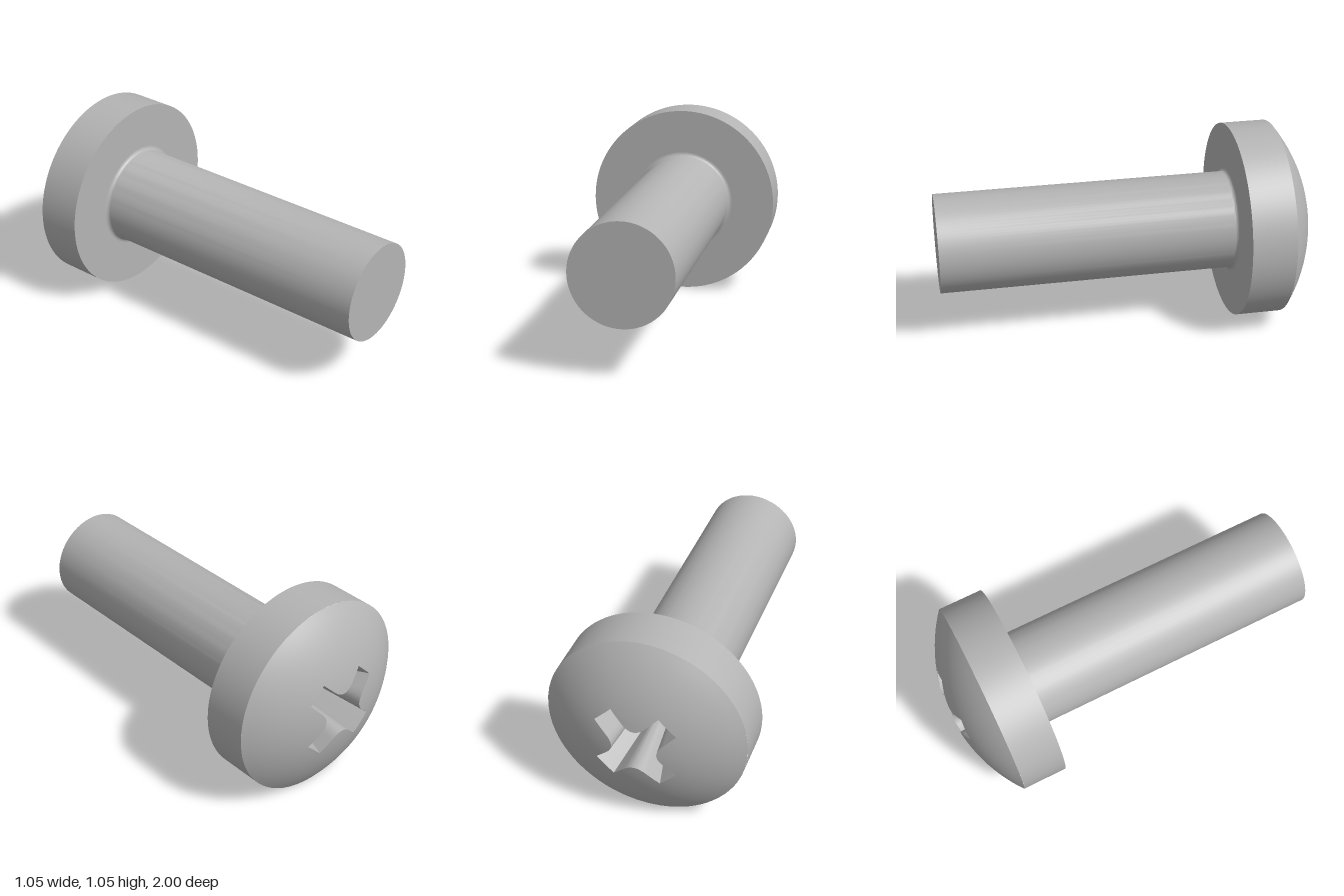
import * as THREE from 'three';
import { toCreasedNormals } from 'three/addons/utils/BufferGeometryUtils.js';

const HEAD_R = 0.5275, SHANK_R = 0.264, FILLET = 0.022;
const RIM_Z = -0.825, UNDER_Z = -0.585, APEX_Z = -1.008;

// Spherical crown through the rim and the apex
const rise = RIM_Z - APEX_Z;
const CROWN_R = (HEAD_R ** 2 + rise ** 2) / (2 * rise);
const crownZ = (r) => APEX_Z + CROWN_R - Math.sqrt(CROWN_R ** 2 - r * r);

// Diagonal cross: half width w, arm reach, and start c of the rounded inner corners
function crossOutline(w, c, reach, n = 8) {
  const v = (x, y) => new THREE.Vector2(x, y);
  const curves = [
    new THREE.LineCurve(v(c, -w), v(reach, -w)),
    new THREE.LineCurve(v(reach, -w), v(reach, w)),
    new THREE.LineCurve(v(reach, w), v(c, w)),
    new THREE.QuadraticBezierCurve(v(c, w), v(w, w), v(w, c)),
  ];
  const points = [];
  for (let arm = 0; arm < 4; arm++) {
    const turn = Math.PI / 4 + arm * Math.PI / 2;
    for (const curve of curves) {
      for (const p of curve.getPoints(n).slice(0, n)) points.push(p.rotateAround(v(0, 0), turn));
    }
  }
  return points;
}

// Skin closed rings of [x, y, z] points, from the innermost ring outwards
function loft(rings, crease) {
  const n = rings[0].length, index = [];
  for (let i = 0; i < rings.length - 1; i++) {
    for (let j = 0; j < n; j++) {
      const a = i * n + j, b = i * n + (j + 1) % n;
      index.push(a, b, a + n, b, b + n, a + n);
    }
  }
  const geometry = new THREE.BufferGeometry();
  geometry.setAttribute('position', new THREE.Float32BufferAttribute(rings.flat(2), 3));
  geometry.setIndex(index);
  return toCreasedNormals(geometry, crease);
}

export function createModel() {
  const group = new THREE.Group();
  group.name = 'screw';
  const steel = new THREE.MeshStandardMaterial({ color: 0xb4b4b4 });
  steel.name = 'grey steel';

  const add = (name, geometry) => {
    const mesh = new THREE.Mesh(geometry, steel);
    mesh.name = name;
    mesh.position.y = HEAD_R;
    group.add(mesh);
  };
  // Turned parts: profile of [radius, z]
  const turned = (profile) => toCreasedNormals(
    new THREE.LatheGeometry(profile.map(([r, z]) => new THREE.Vector2(r, z)), 96).rotateX(Math.PI / 2), 0.5);

  // Head side wall and underside
  add('headSide', turned([[HEAD_R, RIM_Z], [HEAD_R, UNDER_Z], [SHANK_R + FILLET, UNDER_Z]]));

  // Shank with a small fillet under the head
  const shank = [];
  for (let i = 0; i <= 6; i++) {
    const a = i / 6 * Math.PI / 2;
    shank.push([SHANK_R + FILLET * (1 - Math.sin(a)), UNDER_Z + FILLET * (1 - Math.cos(a))]);
  }
  add('shank', turned([...shank, [SHANK_R, 1], [0, 1]]));

  // Domed crown between the cross opening and the rim
  const mouth = crossOutline(0.062, 0.145, 0.235);
  const crown = [];
  for (let i = 0; i <= 12; i++) {
    crown.push(mouth.map((p) => {
      const r = THREE.MathUtils.lerp(p.length(), HEAD_R, i / 12), a = p.angle();
      return [r * Math.cos(a), r * Math.sin(a), crownZ(r)];
    }));
  }
  add('headCrown', loft(crown, 0.4));

  // Tapered driver recess
  const floor = crossOutline(0.045, 0.09, 0.13), floorZ = -0.66;
  add('crossRecess', loft([
    floor.map(() => [0, 0, floorZ]),
    floor.map((p) => [p.x, p.y, floorZ]),
    mouth.map((p) => [p.x, p.y, crownZ(p.length())]),
  ], 0.5));

  return group;
}
